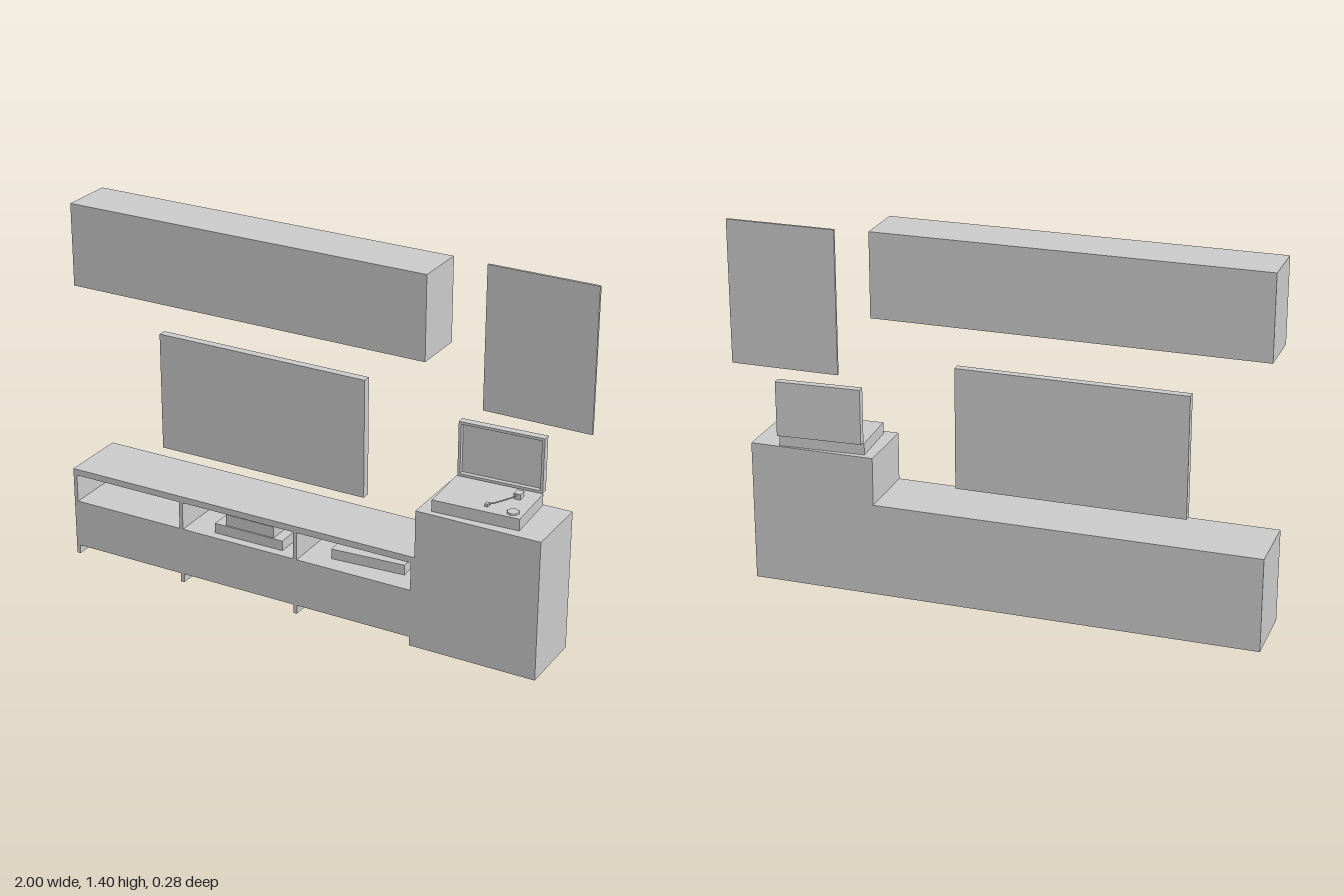
import * as THREE from 'three';

const material = new THREE.MeshStandardMaterial({ color: 0xcccccc, flatShading: true });

// Add a mesh with a plain name to a parent
function add(parent, name, geometry, x = 0, y = 0, z = 0) {
  const mesh = new THREE.Mesh(geometry, material);
  mesh.name = name;
  mesh.position.set(x, y, z);
  parent.add(mesh);
  return mesh;
}

// Box given by its limits on each axis
function box(parent, name, [x0, x1], [y0, y1], [z0, z1]) {
  return add(parent, name, new THREE.BoxGeometry(x1 - x0, y1 - y0, z1 - z0),
    (x0 + x1) / 2, (y0 + y1) / 2, (z0 + z1) / 2);
}

function subgroup(parent, name) {
  const group = new THREE.Group();
  group.name = name;
  parent.add(group);
  return group;
}

// Low console: uprights reach the floor, with open shelves above closed drawers
function buildConsole(root) {
  const unit = subgroup(root, 'console');
  const back = -0.125, inner = -0.11, front = 0.14;
  box(unit, 'consoleTop', [-1, 0.46], [0.335, 0.36], [back, front]);
  box(unit, 'consoleBack', [-1, 0.46], [0, 0.335], [back, inner]);
  const uprights = [[-1, -0.985], [-0.525, -0.51], [-0.035, -0.02], [0.445, 0.46]];
  uprights.forEach((span, i) => {
    box(unit, 'upright', span, [0, 0.335], [inner, front]);
    if (i < 3) box(unit, 'drawer', [span[1], uprights[i + 1][0]], [0.035, 0.225], [inner, front]);
  });

  // Devices standing in the open shelves
  box(unit, 'receiverBase', [-0.39, -0.1], [0.225, 0.265], [-0.08, 0.105]);
  box(unit, 'receiverTop', [-0.345, -0.14], [0.265, 0.31], [-0.06, 0.1]);
  const player = add(unit, 'discPlayer', new THREE.BoxGeometry(0.29, 0.04, 0.17), 0.225, 0.245, -0.025);
  player.rotation.y = 0.07;
}

// Record player with raised lid, turned slightly on the cabinet
function buildRecordPlayer(root) {
  const player = subgroup(root, 'recordPlayer');
  player.position.set(0.67, 0.545, 0);
  player.rotation.y = 0.05;
  box(player, 'plinth', [-0.165, 0.165], [0, 0.045], [-0.11, 0.108]);

  // Lid: a rim around a recessed panel
  const lid = subgroup(player, 'lid');
  const [l, r, b, t] = [-0.16, 0.165, 0.048, 0.26];
  const w = 0.01, z0 = -0.133, z1 = -0.103;
  box(lid, 'lidPanel', [l, r], [b, t], [z0, z0 + 0.012]);
  for (const span of [[b, b + w], [t - w, t]]) box(lid, 'lidRim', [l, r], span, [z0 + 0.012, z1]);
  for (const span of [[l, l + w], [r - w, r]]) box(lid, 'lidRim', span, [b + w, t - w], [z0 + 0.012, z1]);

  // Tone arm, its pivot block and a round control
  const arm = new THREE.CurvePath();
  const points = [[0.098, 0.06, -0.04], [0.09, 0.06, -0.005], [0.05, 0.058, 0.055], [0.028, 0.056, 0.072]]
    .map((p) => new THREE.Vector3(...p));
  for (let i = 0; i < 3; i++) arm.add(new THREE.LineCurve3(points[i], points[i + 1]));
  add(player, 'toneArm', new THREE.TubeGeometry(arm, 12, 0.003, 6));
  box(player, 'headShell', [0.022, 0.034], [0.05, 0.06], [0.062, 0.08]);
  box(player, 'armPivot', [0.086, 0.112], [0.045, 0.066], [-0.062, -0.028]);
  add(player, 'controlKnob', new THREE.CylinderGeometry(0.022, 0.024, 0.006, 8), 0.126, 0.048, 0.072);
}

export function createModel() {
  const root = new THREE.Group();
  root.name = 'mediaWall';

  buildConsole(root);
  box(root, 'sideCabinet', [0.46, 0.94], [0, 0.545], [-0.125, 0.14]);
  buildRecordPlayer(root);

  // Wall-hung pieces
  box(root, 'television', [-0.705, 0.16], [0.445, 0.91], [-0.068, -0.036]);
  box(root, 'wallCabinet', [-1, 0.455], [1.085, 1.405], [-0.125, 0.078]);
  box(root, 'picture', [0.585, 1], [0.855, 1.4], [-0.13, -0.12]);
  return root;
}
